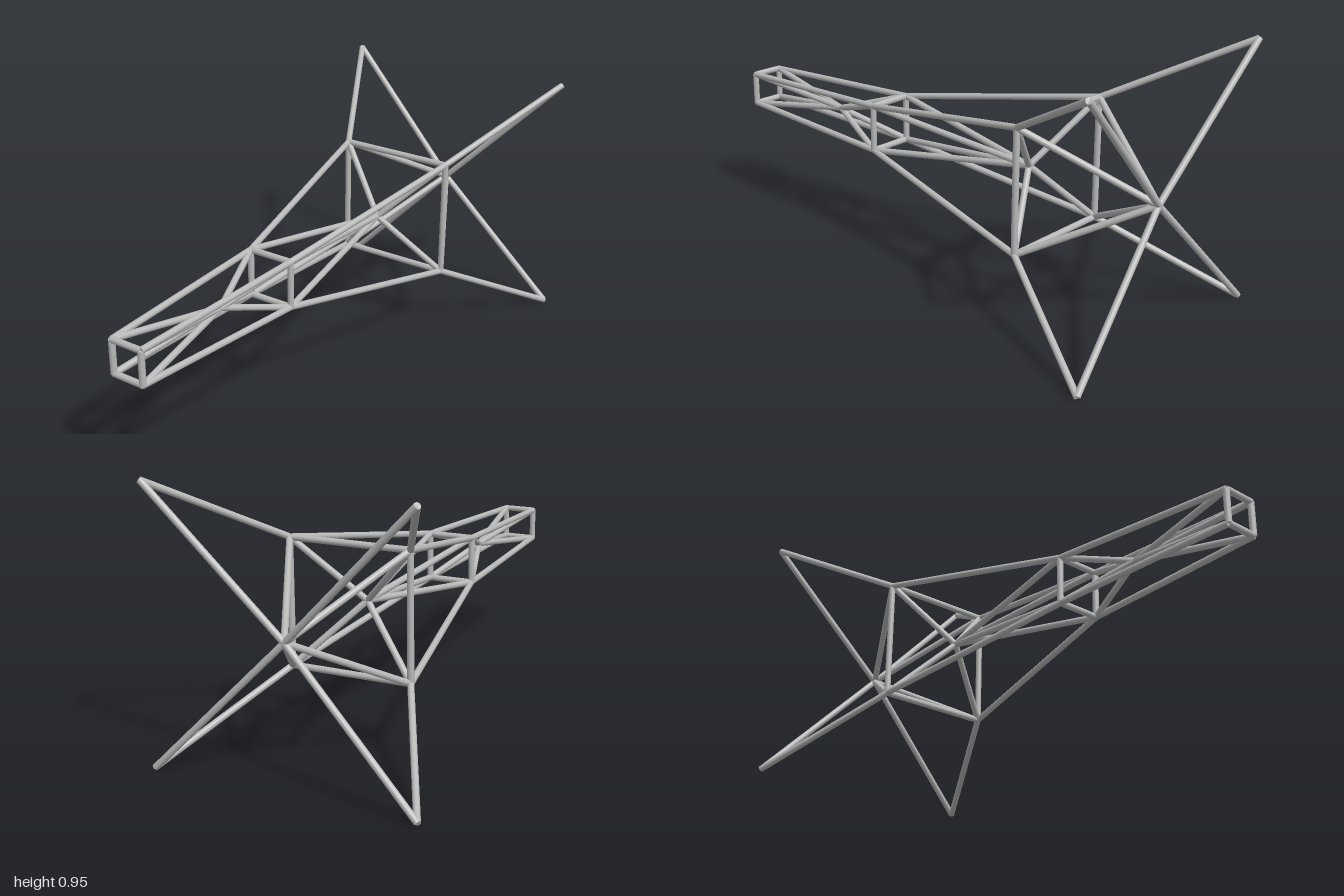
import * as THREE from 'three';

const RADIUS = 0.0115;
const AXIS_Y = 0.475;

export function createModel() {
  const model = new THREE.Group();
  model.name = 'trussTower';
  const steel = new THREE.MeshStandardMaterial({ color: 0xb8b8b8 });
  steel.name = 'steelGrey';

  // One smooth tube between two points
  const strut = (name, a, b) => {
    const dir = b.clone().sub(a);
    const mesh = new THREE.Mesh(new THREE.CylinderGeometry(RADIUS, RADIUS, dir.length(), 16), steel);
    mesh.name = name;
    mesh.position.copy(a).add(b).multiplyScalar(0.5);
    mesh.quaternion.setFromUnitVectors(new THREE.Vector3(0, 1, 0), dir.normalize());
    model.add(mesh);
  };

  // Square sections along the z axis, and the hubs where braces meet
  const square = (half, z) => [[1, 1], [-1, 1], [-1, -1], [1, -1]]
    .map(([x, y]) => new THREE.Vector3(x * half, AXIS_Y + y * half, z));
  const hub = (z) => new THREE.Vector3(0, AXIS_Y, z);

  const feet = square(0.467, -0.99);
  const base = square(0.223, -0.535);
  const waist = square(0.087, 0.267);
  const top = square(0.061, 0.988);
  const footHub = hub(-0.94), baseHub = hub(-0.41), topHub = hub(0.54);

  for (let i = 0; i < 4; i++) {
    const next = (i + 1) % 4;
    // Corner legs
    strut('footLeg', feet[i], base[i]);
    strut('lowerLeg', base[i], waist[i]);
    strut('upperLeg', waist[i], top[i]);
    // Square frames
    strut('baseFrame', base[i], base[next]);
    strut('waistFrame', waist[i], waist[next]);
    strut('topFrame', top[i], top[next]);
    // Inner braces
    strut('footBrace', feet[i], footHub);
    strut('footHubBrace', footHub, base[i]);
    strut('baseBrace', base[i], baseHub);
    strut('lowerBrace', baseHub, waist[i]);
    strut('waistBrace', waist[i], topHub);
    strut('upperBrace', topHub, top[i]);
  }
  return model;
}
